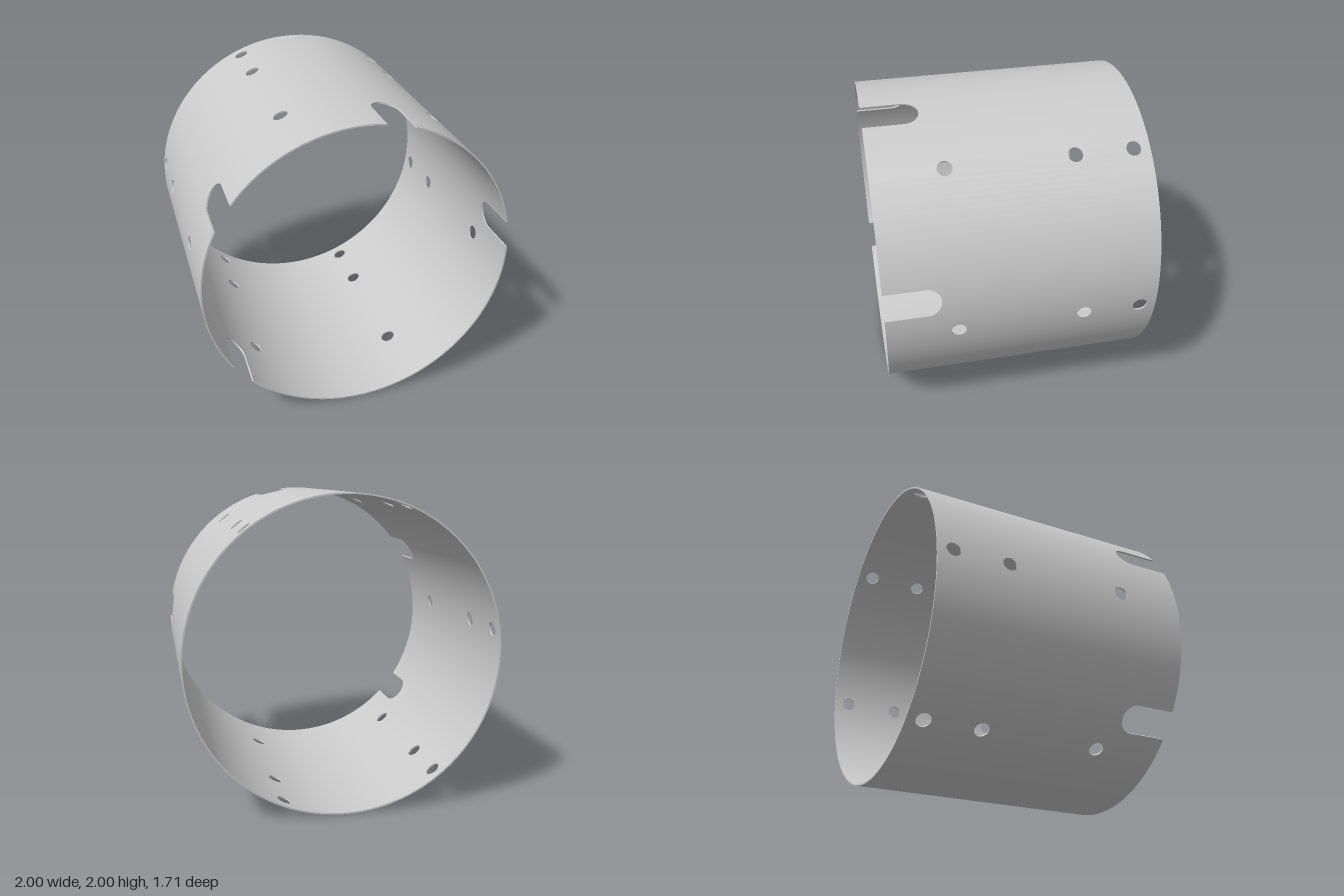
import * as THREE from 'three';

const OUTER = 1, INNER = 0.99, HALF = 0.855;
const HOLE_R = 0.047, HOLE_Z = [-0.75, -0.383, 0.41];
const SLOT_R = 0.094, SLOT_Z = 0.6;
const rad = THREE.MathUtils.degToRad;

// Point on a cylinder lying along z
const point = (r, a, z) => new THREE.Vector3(r * Math.cos(a), 1 + r * Math.sin(a), z);

// Solid stretches of the wall along z, for a sideways offset s from a cut's centre
const plainWall = () => [[-HALF, HALF]];
const holeWall = (s) => {
  const h = Math.sqrt(Math.max(0, HOLE_R ** 2 - s * s));
  const ends = [-HALF, ...HOLE_Z.flatMap((z) => [z - h, z + h]), HALF];
  return HOLE_Z.concat(0).map((_, i) => [ends[2 * i], ends[2 * i + 1]]);
};
const slotWall = (s) => [[-HALF, SLOT_Z - Math.sqrt(Math.max(0, SLOT_R ** 2 - s * s))]];

function tubeGeometry() {
  const positions = [], normals = [];

  // Four-cornered face; skin faces get radial normals, cut faces flat ones
  function quad(corners, skin = 0) {
    const [a, b, c, d] = corners;
    const flat = c.clone().sub(a).cross(d.clone().sub(b)).normalize();
    for (const p of [a, b, c, a, c, d]) {
      const n = skin ? new THREE.Vector3(p.x, p.y - 1, 0).normalize().multiplyScalar(skin) : flat;
      positions.push(p.x, p.y, p.z);
      normals.push(n.x, n.y, n.z);
    }
  }

  // One narrow column of wall between angles a0 and a1
  function column(a0, a1, wall0, wall1) {
    wall0.forEach(([lo0, hi0], i) => {
      const [lo1, hi1] = wall1[i];
      const ring = (r) => [point(r, a0, lo0), point(r, a1, lo1), point(r, a1, hi1), point(r, a0, hi0)];
      const o = ring(OUTER), n = ring(INNER);
      quad(o, 1);
      quad([n[3], n[2], n[1], n[0]], -1);
      quad([o[0], n[0], n[1], o[1]]);
      quad([o[3], o[2], n[2], n[3]]);
    });
  }

  // Six rows of round holes and four open-ended slots
  const cuts = [];
  for (let i = 0; i < 6; i++) cuts.push({ angle: rad(-7.5 + 60 * i), r: HOLE_R, wall: holeWall, steps: 20 });
  for (let i = 0; i < 4; i++) cuts.push({ angle: rad(6.5 + 70.7 * i), r: SLOT_R, wall: slotWall, steps: 28, slot: true });
  cuts.sort((a, b) => a.angle - b.angle);

  cuts.forEach((cut, i) => {
    const { angle, r, wall, steps, slot } = cut;
    const half = Math.asin(r);

    // Wall across the cut, sampled evenly round its curved edge
    const sample = (k) => {
      const s = -r * Math.cos((Math.PI * k) / steps);
      return [angle + Math.asin(s), wall(s)];
    };
    for (let k = 0; k < steps; k++) {
      const [a0, w0] = sample(k), [a1, w1] = sample(k + 1);
      column(a0, a1, w0, w1);
    }

    // Straight sides of a slot
    if (slot) {
      for (const side of [-1, 1]) {
        const a = angle + side * half;
        const face = [point(INNER, a, SLOT_Z), point(INNER, a, HALF), point(OUTER, a, HALF), point(OUTER, a, SLOT_Z)];
        quad(side < 0 ? face : face.reverse());
      }
    }

    // Plain wall up to the next cut
    const next = cuts[(i + 1) % cuts.length];
    const start = angle + half;
    const end = next.angle - Math.asin(next.r) + (i === cuts.length - 1 ? Math.PI * 2 : 0);
    const count = Math.ceil((end - start) / rad(2));
    for (let k = 0; k < count; k++) {
      const at = (j) => start + ((end - start) * j) / count;
      column(at(k), at(k + 1), plainWall(), plainWall());
    }
  });

  const geometry = new THREE.BufferGeometry();
  geometry.setAttribute('position', new THREE.Float32BufferAttribute(positions, 3));
  geometry.setAttribute('normal', new THREE.Float32BufferAttribute(normals, 3));
  return geometry;
}

export function createModel() {
  const group = new THREE.Group();
  group.name = 'perforatedTube';
  const tube = new THREE.Mesh(tubeGeometry(), new THREE.MeshStandardMaterial({ color: 0xcccccc }));
  tube.name = 'tubeWall';
  group.add(tube);
  return group;
}
